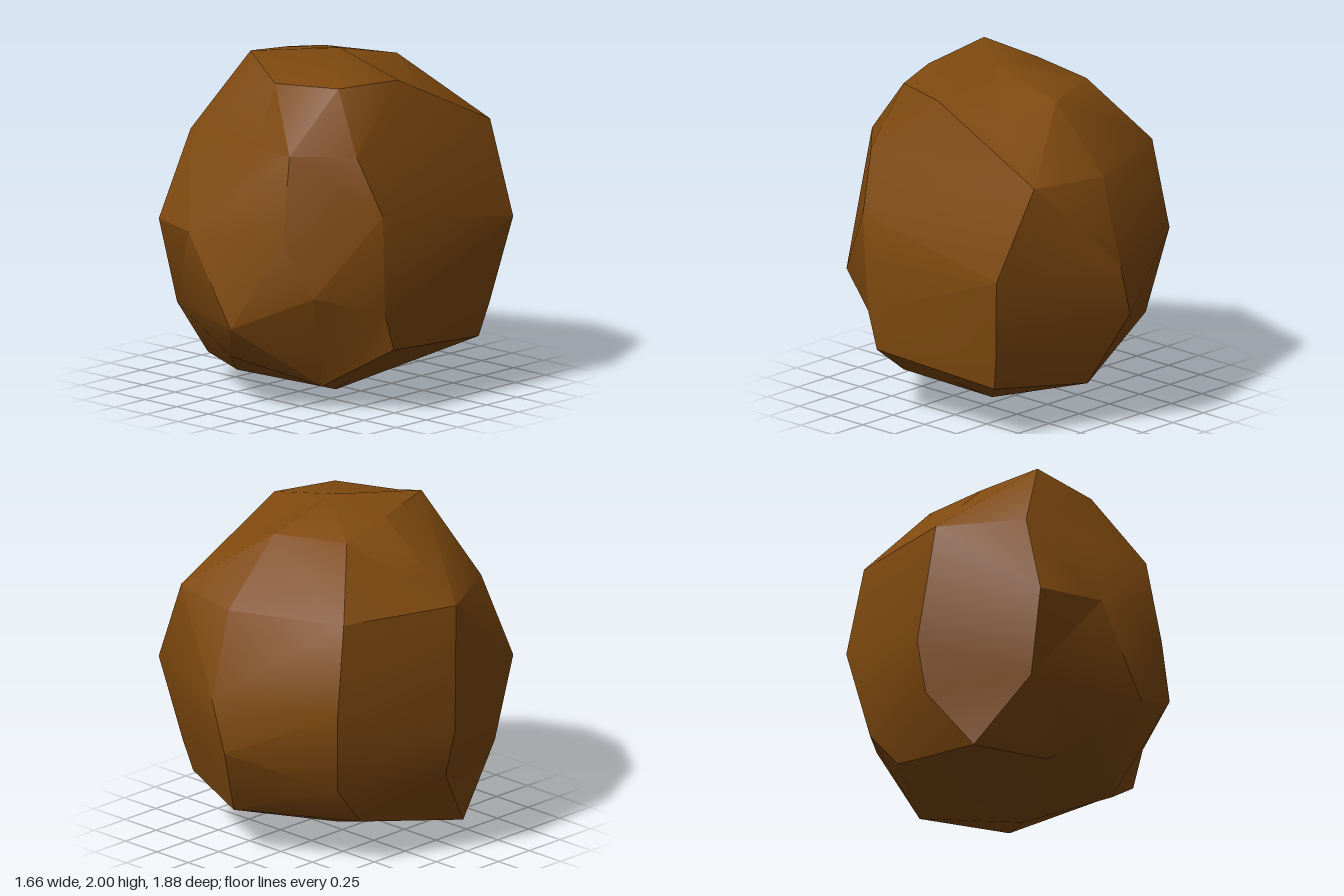
import * as THREE from 'three';
import { toCreasedNormals } from 'three/addons/utils/BufferGeometryUtils.js';

// Rock: an eight-sided globe whose points are chipped inward to form broad facets.
const RADIUS = 1.01;
const CENTRE = new THREE.Vector3(0.12, 1.01, 0.07);
const SIDES = 8;
const LATITUDES = [60, 30, 0, -30, -60];

// Chipped points per meridian, top to bottom, from the front round through +x;
// null keeps the point on the globe.
const CHIPS = [
  [null, [0.1, 1.52, 0.7], [-0.22, 1.02, 0.93], null, [-0.08, 0.28, 0.74]],
  [null, [0.4, 1.53, 0.75], [0.43, 1.02, 0.84], [0.6, 0.73, 0.76], [0.41, 0.14, 0.49]],
  [[0.59, 1.89, 0.05], [0.68, 1.53, 0.49], [0.82, 1.19, 0.42], [0.81, 0.61, 0.39], [0.81, 0.39, 0.32]],
  [[0.48, 1.74, -0.29], [0.59, 1.53, -0.71], null, null, [0.7, 0.31, -0.5]],
  [null, null, null, [0.03, 0.7, -0.93], [0.16, 0.27, -0.72]],
  [[-0.3, 1.89, -0.27], [-0.55, 1.53, -0.55], null, null, [-0.49, 0.27, -0.35]],
  [[-0.26, 1.95, 0.08], [-0.76, 1.52, 0.15], [-0.83, 0.8, 0.07], null, [-0.64, 0.14, 0.33]],
  [[-0.2, 2, 0.44], [-0.51, 1.52, 0.61], null, [-0.55, 0.51, 0.68], [-0.22, 0.14, 0.53]],
];
const TOP = new THREE.Vector3(0.12, 2, 0.04);
const BOTTOM = new THREE.Vector3(0.12, 0, 0.07);

function gridPoint(side, row) {
  const chip = CHIPS[side][row];
  if (chip) return new THREE.Vector3(...chip);
  const lat = THREE.MathUtils.degToRad(LATITUDES[row]);
  return new THREE.Vector3()
    .setFromSphericalCoords(RADIUS, Math.PI / 2 - lat, (side / SIDES) * Math.PI * 2)
    .add(CENTRE);
}

function rockGeometry() {
  const grid = CHIPS.map((_, s) => LATITUDES.map((_, r) => gridPoint(s, r)));
  const positions = [];
  const tri = (...points) => points.forEach((p) => positions.push(p.x, p.y, p.z));
  const reach = (p, q) => p.clone().lerp(q, 0.5).distanceTo(CENTRE);

  for (let s = 0; s < SIDES; s++) {
    const near = grid[s];
    const far = grid[(s + 1) % SIDES];
    const last = LATITUDES.length - 1;
    tri(TOP, near[0], far[0]);
    for (let r = 0; r < last; r++) {
      const [a, b, c, d] = [near[r], near[r + 1], far[r + 1], far[r]];
      // Fold each quad outward along its more prominent diagonal
      if (reach(a, c) > reach(b, d)) {
        tri(a, b, c);
        tri(a, c, d);
      } else {
        tri(a, b, d);
        tri(b, c, d);
      }
    }
    tri(BOTTOM, far[last], near[last]);
  }
  const geometry = new THREE.BufferGeometry();
  geometry.setAttribute('position', new THREE.Float32BufferAttribute(positions, 3));
  return toCreasedNormals(geometry, THREE.MathUtils.degToRad(33));
}

export function createModel() {
  const group = new THREE.Group();
  group.name = 'rock';
  const brown = new THREE.MeshStandardMaterial({ color: 0x7f490f });
  brown.name = 'earth brown';
  const boulder = new THREE.Mesh(rockGeometry(), brown);
  boulder.name = 'boulder';
  group.add(boulder);
  return group;
}
